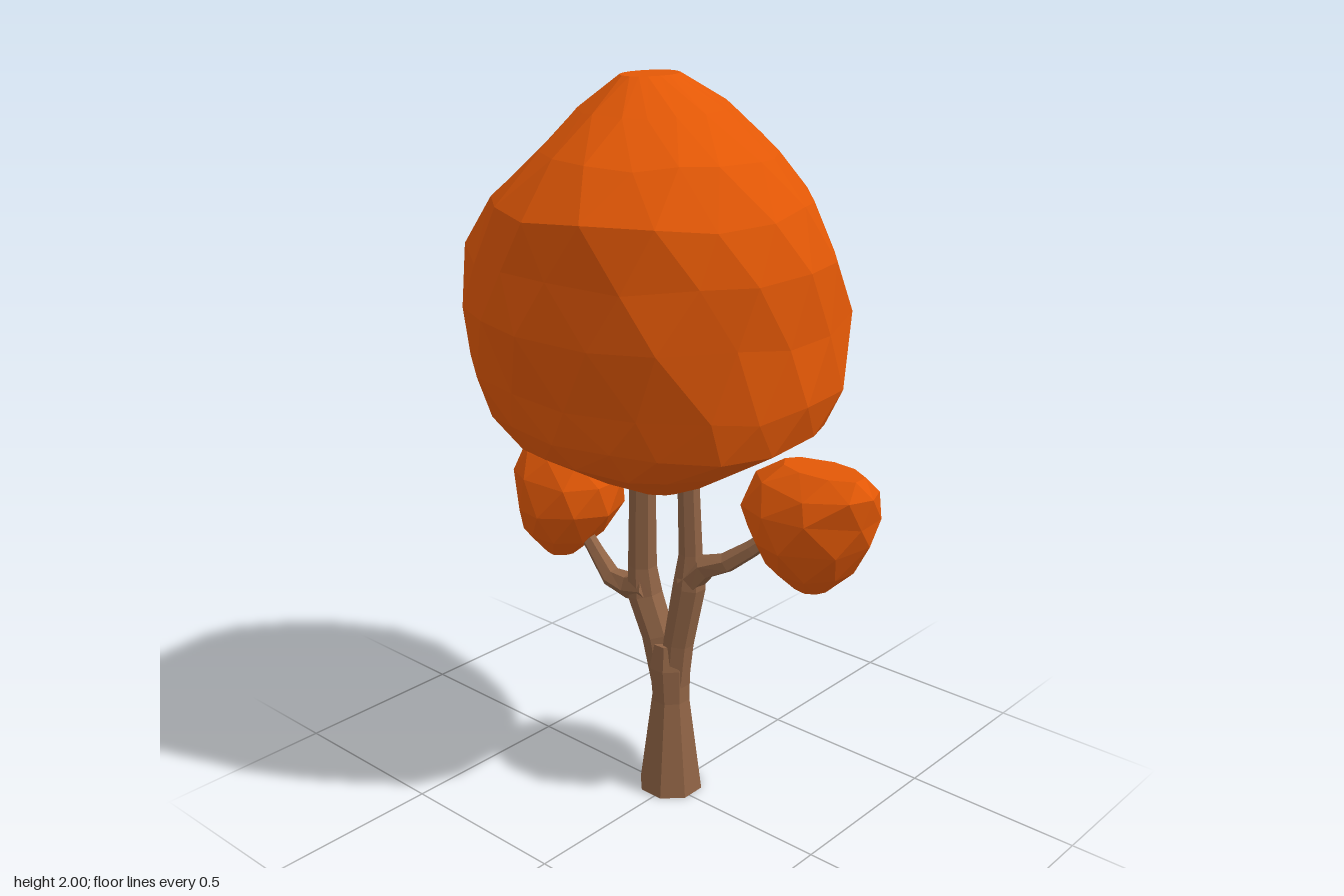
import * as THREE from 'three';

const LEAF = new THREE.MeshStandardMaterial({ color: 0xe35806, flatShading: true });
const BARK = new THREE.MeshStandardMaterial({ color: 0x8f6345, flatShading: true });

// Seeded generator for repeatable irregularity
function seeded(seed) {
  let s = seed;
  return () => (s = (s * 16807) % 2147483647) / 2147483647;
}

// Skins a stack of equal-length rings (counter-clockwise from above) and closes both ends
function loft(name, rings, material) {
  const n = rings[0].length;
  const pos = [], index = [];
  rings.forEach(r => r.forEach(p => pos.push(p.x, p.y, p.z)));
  const middle = r => r.reduce((m, p) => m.add(p), new THREE.Vector3()).divideScalar(n);
  const last = rings.length - 1, bottom = rings.length * n, top = bottom + 1;
  [rings[0], rings[last]].forEach(r => { const m = middle(r); pos.push(m.x, m.y, m.z); });
  for (let j = 0; j < n; j++) {
    const k = (j + 1) % n;
    for (let i = 0; i < last; i++) {
      const a = i * n + j, b = i * n + k, c = a + n, d = b + n;
      // the diagonal follows the stagger of the rings
      if (i % 2) index.push(a, b, d, a, d, c);
      else index.push(a, b, c, b, d, c);
    }
    index.push(bottom, k, j, top, last * n + j, last * n + k);
  }
  const geometry = new THREE.BufferGeometry();
  geometry.setAttribute('position', new THREE.Float32BufferAttribute(pos, 3));
  geometry.setIndex(index);
  geometry.computeVertexNormals();
  const mesh = new THREE.Mesh(geometry, material);
  mesh.name = name;
  return mesh;
}

// Leaf clump from levels [y, xMin, xMax, zMin, zMax, squeeze], slightly roughened;
// squeeze narrows a level along the diagonal from back left to front right
function foliage(name, levels, sides, seed, rough) {
  const rand = seeded(seed);
  const rings = levels.map(([y, x0, x1, z0, z1, squeeze = 0], i) => {
    const end = i === 0 || i === levels.length - 1;
    return Array.from({ length: sides }, (_, j) => {
      const a = (j + (i % 2) * 0.5 + (rand() - 0.5) * 0.3) / sides * Math.PI * 2;
      const r = (1.01 + (rand() - 0.5) * rough) * (1 - squeeze * Math.max(0, Math.sin(2 * a)));
      const dy = end ? 0 : (rand() - 0.5) * rough * (x1 - x0);
      return new THREE.Vector3(
        (x0 + x1) / 2 + Math.cos(a) * r * (x1 - x0) / 2,
        y + dy,
        (z0 + z1) / 2 - Math.sin(a) * r * (z1 - z0) / 2);
    });
  });
  return loft(name, rings, LEAF);
}

// Tapered limb through points [x, y, z, radius]
function limb(name, path, sides) {
  const up = new THREE.Vector3(0, 1, 0);
  const pts = path.map(p => new THREE.Vector3(p[0], p[1], p[2]));
  const rings = pts.map((p, i) => {
    const dir = pts[Math.min(i + 1, pts.length - 1)].clone().sub(pts[Math.max(i - 1, 0)]).normalize();
    const q = new THREE.Quaternion().setFromUnitVectors(up, dir);
    return Array.from({ length: sides }, (_, j) => {
      const a = (j + 0.5) / sides * Math.PI * 2;
      return new THREE.Vector3(Math.cos(a), 0, -Math.sin(a))
        .multiplyScalar(path[i][3]).applyQuaternion(q).add(p);
    });
  });
  return loft(name, rings, BARK);
}

export function createModel() {
  const tree = new THREE.Group();
  tree.name = 'tree';

  // Trunk and its two main branches
  tree.add(
    limb('trunk', [[-0.014, 0, -0.017, 0.092], [-0.014, 0.28, -0.017, 0.055], [-0.018, 0.38, -0.017, 0.06],
      [-0.02, 0.45, -0.017, 0.046]], 8),
    limb('rightBranch', [[-0.03, 0.32, -0.017, 0.042], [-0.06, 0.46, -0.017, 0.047], [-0.108, 0.57, -0.017, 0.05],
      [-0.114, 0.66, -0.012, 0.041], [-0.1, 1.0, 0, 0.035]], 7),
    limb('leftBranch', [[0, 0.32, -0.017, 0.04], [0.012, 0.46, -0.02, 0.043], [0.045, 0.64, -0.026, 0.046],
      [0.053, 0.74, -0.022, 0.033], [0.052, 1.0, -0.01, 0.029]], 7));

  // Twigs carrying the small leaf clumps
  tree.add(
    limb('rightTwig', [[-0.09, 0.6, -0.01, 0.045], [-0.16, 0.582, -0.005, 0.037], [-0.225, 0.592, 0, 0.03],
      [-0.28, 0.65, 0, 0.023], [-0.36, 0.74, 0, 0.018]], 6),
    limb('leftTwig', [[0.04, 0.65, -0.02, 0.042], [0.09, 0.705, -0.035, 0.037], [0.15, 0.728, -0.055, 0.029],
      [0.21, 0.775, -0.085, 0.024], [0.29, 0.85, -0.13, 0.018]], 6));

  // Main crown
  tree.add(foliage('crown', [
    [0.91, -0.12, 0.03, -0.09, 0.06],
    [0.97, -0.24, 0.14, -0.16, 0.18],
    [1.06, -0.4, 0.29, -0.28, 0.34, -0.03],
    [1.13, -0.51, 0.41, -0.35, 0.38, -0.03],
    [1.24, -0.56, 0.45, -0.4, 0.41, -0.03],
    [1.41, -0.56, 0.45, -0.47, 0.46],
    [1.56, -0.555, 0.45, -0.43, 0.465, 0.03],
    [1.7, -0.475, 0.41, -0.39, 0.47, 0.1],
    [1.82, -0.3, 0.32, -0.28, 0.38, 0.1],
    [1.92, -0.19, 0.2, -0.15, 0.27, 0.08],
    [2.0, -0.05, 0.07, 0.0, 0.17],
  ], 18, 7, 0.03));

  // Small leaf clumps on either side
  tree.add(
    foliage('rightClump', [
      [0.62, -0.46, -0.37, -0.05, 0.05],
      [0.68, -0.54, -0.3, -0.13, 0.1],
      [0.77, -0.55, -0.24, -0.165, 0.135],
      [0.86, -0.56, -0.235, -0.165, 0.13],
      [0.93, -0.54, -0.28, -0.12, 0.09],
      [0.97, -0.45, -0.34, -0.06, 0.04],
    ], 9, 31, 0.05),
    foliage('leftClump', [
      [0.69, 0.32, 0.41, -0.2, -0.1],
      [0.75, 0.23, 0.47, -0.27, -0.04],
      [0.84, 0.18, 0.53, -0.31, 0.01, 0.04],
      [0.92, 0.16, 0.55, -0.31, 0.02, 0.04],
      [0.99, 0.2, 0.56, -0.26, -0.01, 0.03],
      [1.035, 0.28, 0.52, -0.19, -0.07],
    ], 9, 53, 0.05));

  return tree;
}
